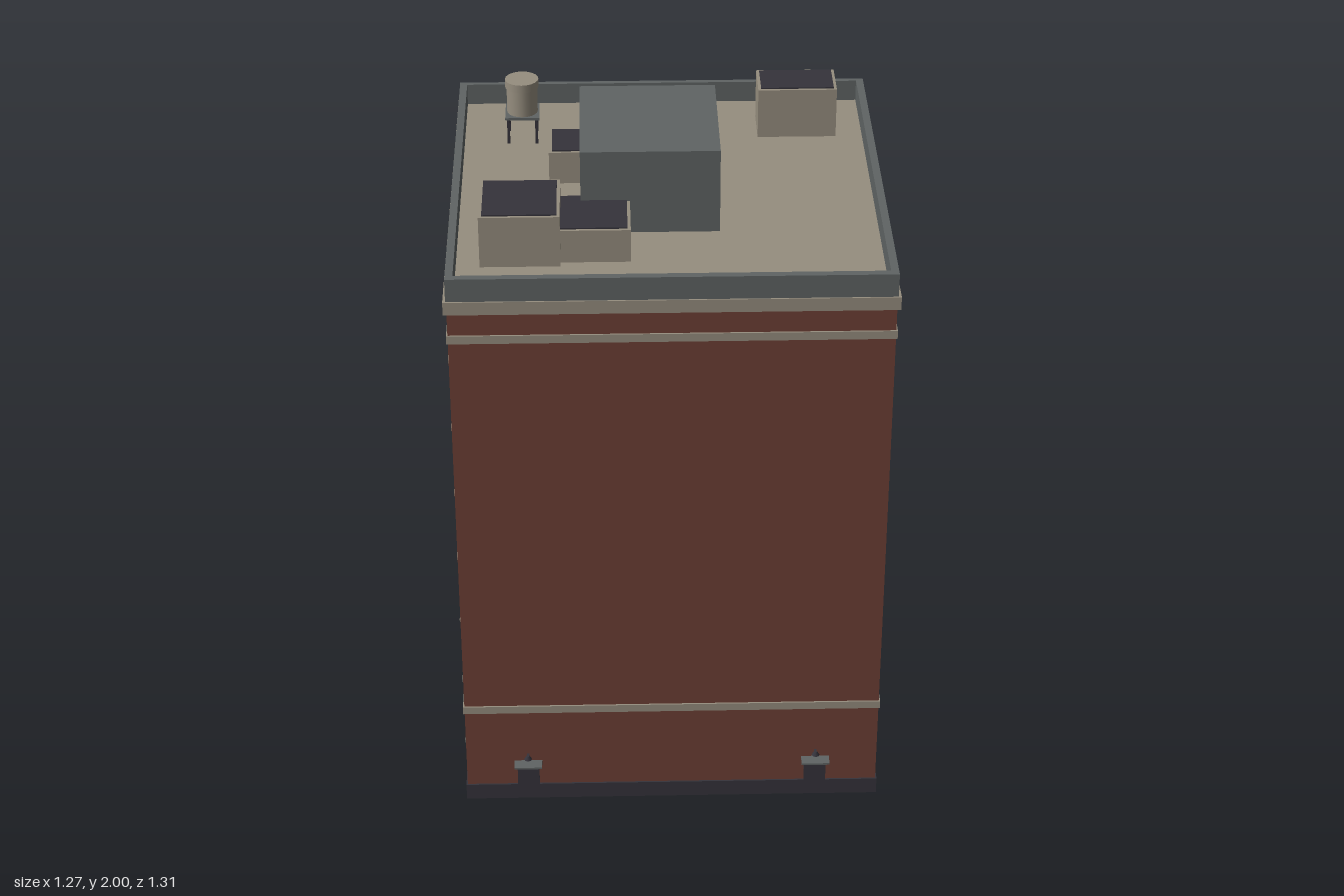
import * as THREE from 'three';

const mat = (name, color) => {
  const m = new THREE.MeshStandardMaterial({ color });
  m.name = name;
  return m;
};

export function createModel() {
  const brick = mat('brick', 0x6e4035), stone = mat('stone', 0x968e7f);
  const grey = mat('grey', 0x5f6464), dark = mat('dark', 0x35333b);
  const model = new THREE.Group();
  model.name = 'apartmentBuilding';

  const add = (parent, name, geo, m, x = 0, y = 0, z = 0) => {
    const mesh = new THREE.Mesh(geo, m);
    mesh.name = name;
    mesh.position.set(x, y, z);
    parent.add(mesh);
    return mesh;
  };
  // box given by its minimum and maximum on each axis
  const box = (parent, name, m, x0, x1, y0, y1, z0, z1) => add(parent, name,
    new THREE.BoxGeometry(x1 - x0, y1 - y0, z1 - z0), m, (x0 + x1) / 2, (y0 + y1) / 2, (z0 + z1) / 2);
  const group = (name, parent = model) => {
    const g = new THREE.Group();
    g.name = name;
    parent.add(g);
    return g;
  };

  // main volume, plinth and bands
  box(model, 'walls', brick, -0.62, 0.62, 0, 1.735, -0.622, 0.617);
  box(model, 'plinth', dark, -0.624, 0.624, 0.002, 0.055, -0.628, 0.622);
  box(model, 'lowerBand', stone, -0.624, 0.624, 0.325, 0.35, -0.637, 0.622);
  box(model, 'upperBand', stone, -0.624, 0.624, 1.607, 1.632, -0.63, 0.622);
  box(model, 'cornice', stone, -0.63, 0.63, 1.7, 1.74, -0.658, 0.624);

  // parapet around the flat roof
  const parapet = group('parapet');
  for (const s of [-1, 1]) box(parapet, 'sideParapet', grey, s < 0 ? -0.622 : 0.6, s < 0 ? -0.6 : 0.622, 1.74, 1.81, -0.627, 0.62);
  box(parapet, 'backParapet', grey, -0.6, 0.6, 1.74, 1.81, -0.627, -0.611);
  box(parapet, 'frontParapet', grey, -0.6, 0.6, 1.74, 1.81, 0.598, 0.62);

  // window in local space: bottom centre at (x, y), wall at z = 0
  // blind: T top, L left, R right, B both sides, N none
  const makeWindow = (parent, x, y, w, h, blind) => {
    const g = group('window', parent);
    g.position.set(x, y, 0);
    const a = w / 2, e = 0.005;
    box(g, 'frame', stone, -a, a, 0, h, -0.002, 0.002);
    box(g, 'pane', dark, -a + e, a - e, e, h - e, -0.002, 0.0035);
    box(g, 'sill', stone, -a - 0.006, a + 0.006, -0.003, 0.006, -0.002, 0.009);
    if (blind === 'T') box(g, 'blind', stone, -a + e, a - e, h * 0.48, h - e, 0, 0.005);
    if (blind === 'L' || blind === 'B') box(g, 'curtain', stone, -a + e, -a + w * (blind === 'B' ? 0.28 : 0.45), e, h - e, 0, 0.005);
    if (blind === 'R' || blind === 'B') box(g, 'curtain', stone, a - w * (blind === 'B' ? 0.28 : 0.45), a - e, e, h - e, 0, 0.005);
  };

  const floors = [1.478, 1.254, 1.03, 0.806, 0.582, 0.358, 0.127];
  const sidePattern = ['TRBNLT', 'NLLTLN', 'LTNTLR', 'TTNNLN', 'TRLRTT', 'RNRTRT', 'TRLTNN'];

  // side facades
  for (const s of [-1, 1]) {
    const side = group(s > 0 ? 'leftFacade' : 'rightFacade');
    side.position.x = s * 0.62;
    side.rotation.y = s * Math.PI / 2;
    floors.forEach((y, r) => {
      for (let c = 0; c < 6; c++) makeWindow(side, (c - 2.5) * 0.183, y, 0.078, 0.12, sidePattern[r][c]);
    });
  }

  // rear street facade, local x runs the other way
  const street = group('streetFacade');
  street.position.z = -0.622;
  street.rotation.y = Math.PI;
  const pilasters = [-0.62, -0.372, -0.124, 0.124, 0.372, 0.62];
  for (const x of pilasters) {
    box(street, 'pilaster', stone, x - 0.016, x + 0.016, 0.35, 1.64, -0.016, 0.016);
    const bracket = add(street, 'bracket', new THREE.CylinderGeometry(0.014, 0.003, 0.05, 4), stone, x * 0.985, 0.3, 0.006);
    bracket.rotation.y = Math.PI / 4;
  }
  const streetPattern = ['TLRNTBLR', 'RNLTRNLT', 'TRNLBTRN', 'NTLRNLTR', 'LRTNRBNT', 'RTNLTRLN'];
  const columns = [-0.496, -0.295, -0.201, -0.045, 0.045, 0.201, 0.295, 0.496];
  floors.slice(0, 6).forEach((y, r) => columns.forEach((x, c) =>
    makeWindow(street, x, y, c % 7 ? 0.068 : 0.085, 0.12, streetPattern[r][c])));

  // street level shop fronts
  for (const s of [-1, 1]) {
    const outer = group('cornerShop', street), inner = group('shopWindow', street);
    outer.position.x = s * 0.496;
    inner.position.x = s * 0.248;
    box(outer, 'opening', dark, -0.075, 0.075, 0.055, 0.25, -0.002, 0.005);
    box(outer, 'header', stone, -0.075, 0.075, 0.225, 0.25, -0.002, 0.007);
    box(inner, 'shutter', stone, -0.075, 0.075, 0.06, 0.25, -0.002, 0.005);
    box(inner, 'awning', grey, -0.079, 0.079, 0.2, 0.25, -0.002, 0.013);
  }
  // entrance and canopy
  const entrance = group('entrance', street);
  box(entrance, 'doorSurround', dark, -0.08, 0.08, 0.01, 0.25, -0.002, 0.009);
  box(entrance, 'transom', grey, -0.06, 0.06, 0.205, 0.235, 0, 0.011);
  for (const s of [-1, 1]) {
    box(entrance, 'doorLeaf', grey, s * 0.033 - 0.029, s * 0.033 + 0.029, 0.015, 0.195, 0, 0.0105);
    box(entrance, 'doorGlass', dark, s * 0.033 - 0.022, s * 0.033 + 0.022, 0.05, 0.187, 0, 0.012);
    box(entrance, 'handle', stone, s * 0.008 - 0.002, s * 0.008 + 0.002, 0.08, 0.13, 0, 0.015);
  }
  box(street, 'canopy', dark, -0.195, 0.195, 0.345, 0.395, 0, 0.023);

  // service doors on the plain front, each with a hood and lamp
  for (const s of [-1, 1]) {
    const door = group('serviceDoor');
    door.position.set(s * 0.434, 0, 0.617);
    box(door, 'doorPanel', dark, -0.033, 0.033, 0.055, 0.137, -0.002, 0.005);
    box(door, 'hood', grey, -0.042, 0.042, 0.137, 0.143, -0.002, 0.037);
    box(door, 'lampArm', dark, -0.004, 0.004, 0.163, 0.168, -0.002, 0.02);
    add(door, 'lampShade', new THREE.CylinderGeometry(0.005, 0.012, 0.012, 8), dark, 0, 0.169, 0.02);
  }

  // roof surface and rooftop structures
  box(model, 'roof', stone, -0.601, 0.601, 1.73, 1.745, -0.612, 0.6);
  box(model, 'penthouse', grey, -0.25, 0.146, 1.74, 2, -0.192, 0.238);
  const units = [
    [-0.533, -0.307, 0.208, 0.434, 1.9], [-0.36, -0.11, 0.2, 0.412, 1.845],
    [-0.343, -0.11, -0.227, -0.07, 1.845], [0.284, 0.52, -0.502, -0.36, 1.9]];
  for (const [x0, x1, z0, z1, top] of units) {
    const unit = group('roofUnit');
    box(unit, 'unitBody', stone, x0, x1, 1.74, top, z0, z1);
    box(unit, 'unitTop', dark, x0 + 0.009, x1 - 0.009, top - 0.005, top + 0.004, z0 + 0.009, z1 - 0.009);
  }

  // water tank on legs
  const tank = group('waterTank');
  tank.position.set(-0.425, 0, -0.38);
  box(tank, 'platform', grey, -0.051, 0.051, 1.824, 1.832, -0.051, 0.051);
  add(tank, 'barrel', new THREE.CylinderGeometry(0.046, 0.046, 0.083, 20), stone, 0, 1.8735, 0);
  add(tank, 'lid', new THREE.CylinderGeometry(0.05, 0.05, 0.025, 20), stone, 0, 1.9255, 0);
  for (const x of [-1, 1]) for (const z of [-1, 1])
    box(tank, 'leg', dark, x * 0.042 - 0.004, x * 0.042 + 0.004, 1.74, 1.826, z * 0.042 - 0.004, z * 0.042 + 0.004);

  return model;
}
